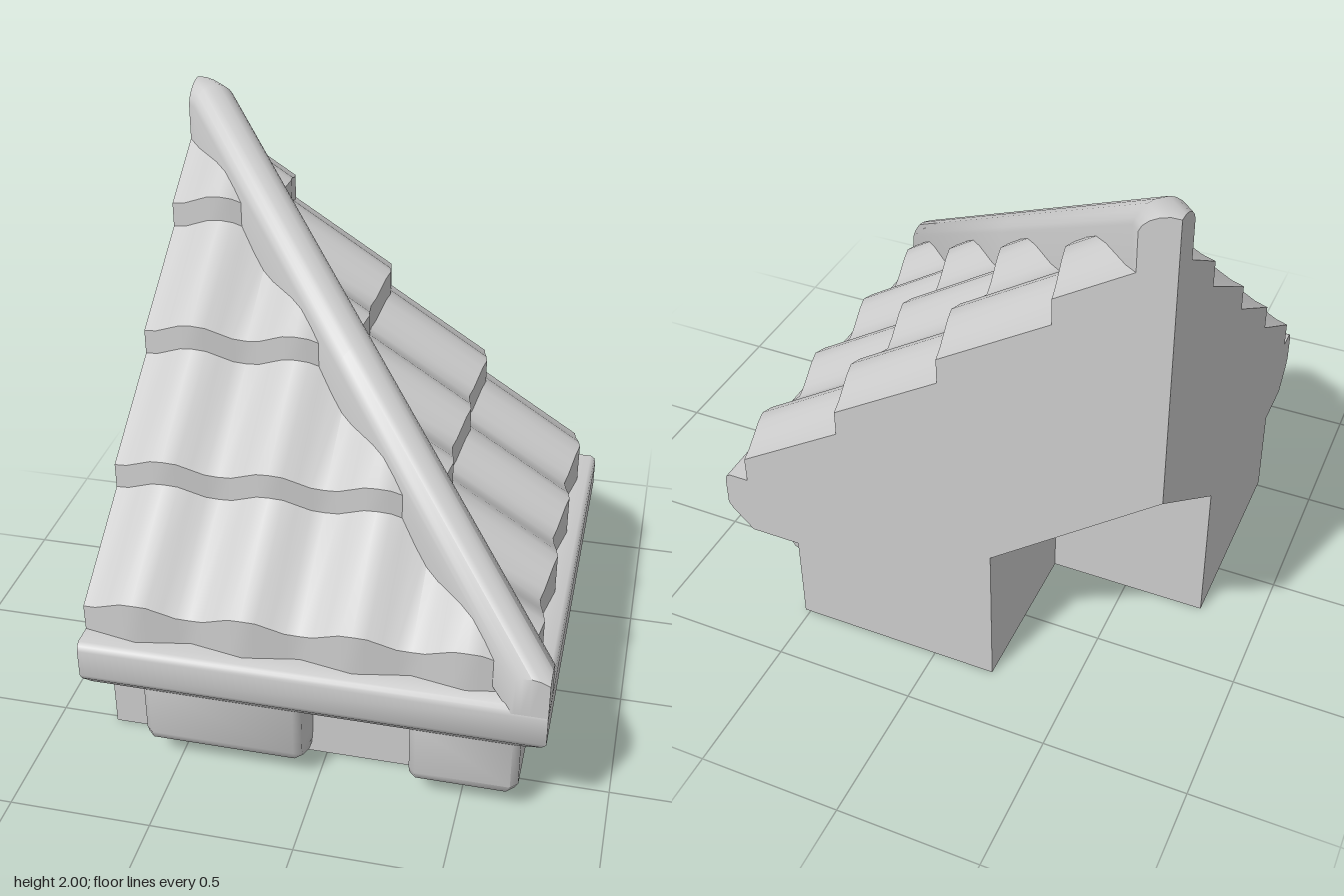
import * as THREE from 'three';
import { toCreasedNormals } from 'three/addons/utils/BufferGeometryUtils.js';

const E = 0.79;          // half width of the piece
const ROWS = 4, STEP = 0.375, RISE = 0.33, TILE = 0.373;
const material = new THREE.MeshStandardMaterial({ color: 0xcccccc });

// Skin between neighbouring columns of [x, y, z] points, skipping empty triangles
function skin(cols) {
  const pos = [];
  const a = new THREE.Vector3(), b = new THREE.Vector3(), c = new THREE.Vector3();
  const tri = (p, q, r) => {
    a.set(...p); b.set(...q).sub(a); c.set(...r).sub(a);
    if (b.cross(c).length() > 1e-7) pos.push(...p, ...q, ...r);
  };
  for (let i = 0; i + 1 < cols.length; i++) {
    for (let j = 0; j + 1 < cols[i].length; j++) {
      tri(cols[i][j], cols[i][j + 1], cols[i + 1][j]);
      tri(cols[i + 1][j], cols[i][j + 1], cols[i + 1][j + 1]);
    }
  }
  const g = new THREE.BufferGeometry();
  g.setAttribute('position', new THREE.Float32BufferAttribute(pos, 3));
  return g;
}

// Reflection across the diagonal plane x = z
function mirrored(source) {
  const g = source.index ? source.toNonIndexed() : source;
  const p = g.attributes.position, pos = [];
  for (let i = 0; i < p.count; i += 3) {
    for (const k of [i, i + 2, i + 1]) pos.push(p.getZ(k), p.getY(k), p.getX(k));
  }
  const out = new THREE.BufferGeometry();
  out.setAttribute('position', new THREE.Float32BufferAttribute(pos, 3));
  return out;
}

// Shingle rows: pointed lower edges, slightly puffed tips
const wave = (x) => { const t = (x + E) / TILE; return 1 - Math.abs(2 * (t - Math.floor(t)) - 1); };
const puff = (x) => 0.5 - 0.5 * Math.cos(2 * Math.PI * (x + E) / TILE);
const edge = (k, x) => 0.70 + 0.035 * wave(x) - STEP * k;
const rowY = (k, x, z) => 0.655 + 0.055 * puff(x) + RISE * k + 0.64 * (edge(k, x) - z);

// Stepped roof section [z, y] at x, kept on the front side of z = x
function roofSection(x) {
  const pts = [];
  for (let k = ROWS - 1; k >= 0; k--) {
    if (edge(k, x) < x) {
      let hit = k;
      while (hit > 0 && edge(hit, x) < x) hit--;
      const y = rowY(hit, x, x);
      pts.push([x, y], [x, y]);
    } else {
      const z0 = Math.max(k === ROWS - 1 ? -E : edge(k + 1, x), x);
      pts.push([z0, rowY(k, x, z0)], [edge(k, x), rowY(k, x, edge(k, x))]);
    }
  }
  pts.push([edge(0, x), 0.56]);
  return pts;
}

// Eaves moulding, wall, underside and sloping soffit as one mitred section [z, y]
const moulding = [[0.68, 0.56], [0.77, 0.56], [0.785, 0.55], [0.79, 0.53], [0.79, 0.43],
  [0.775, 0.405], [0.70, 0.33], [0.52, 0.33]];
const wall = [[0.52, 0.33], [0.52, 0], [-0.22, 0], [-0.22, 0.55], [-E, 1.0]];
const mitred = (section) => skin([
  section.map(([z, y]) => [-E, y, z]),
  section.map(([z, y]) => [z, y, z]),
]);

// Hip ridge: height along the diagonal s, drop across it d
const RIDGE = [[0, 0], [0.03, 0], [0.06, -0.008], [0.09, -0.025], [0.11, -0.045], [0.12, -0.065]];
const KINK = -0.704;
const ridgeY = (s) => Math.min(2, 0.67 + 0.89 * (E - s));

function ridgeGeometry() {
  const column = (d, drop, lower) => {
    const end = E - Math.abs(d) / 2;
    const pts = [-end, KINK, 0, end].map((s) =>
      [s + d / 2, Math.max(0.54, ridgeY(s) + drop - lower), s - d / 2]);
    pts.push([end + d / 2, 0.54, end - d / 2]);
    return pts;
  };
  const cols = RIDGE.map(([d, drop]) => column(d, drop, 0));
  const [d, drop] = RIDGE[RIDGE.length - 1];
  cols.push(column(d, drop, 0.35));
  const other = RIDGE.slice(1).map(([e, f]) => column(-e, f, 0)).reverse();
  return skin([column(-d, drop, 0.35), ...other, ...cols]);
}

// Flat cut face on x = -E
function cutFaceGeometry() {
  const top = RIDGE.map(([d, drop]) => [d - E, ridgeY(-E + d / 2) + drop]);
  const roof = roofSection(-E).slice(1);
  const zr = -E + 0.12;
  const outline = [...top, [zr, rowY(ROWS - 1, -E, zr)], ...roof, ...moulding.slice(1), ...wall.slice(1)];
  const shape = new THREE.Shape(outline.map(([z, y]) => new THREE.Vector2(z, y)));
  return new THREE.ShapeGeometry(shape).rotateY(-Math.PI / 2).translate(-E, 0, 0);
}

// Bracket stone from rings [y, x0, x1, z0, z1], top to bottom, with cut corners
function stoneGeometry(levels) {
  const c = 0.025;
  const rings = levels.map(([y, x0, x1, z0, z1]) => [
    [x1, y, z1 - c], [x1 - c, y, z1], [x0 + c, y, z1], [x0, y, z1 - c],
    [x0, y, z0 + c], [x0 + c, y, z0], [x1 - c, y, z0], [x1, y, z0 + c], [x1, y, z1 - c]]);
  const [y, x0, x1, z0, z1] = levels[levels.length - 1];
  rings.push(rings[0].map(() => [(x0 + x1) / 2, y, (z0 + z1) / 2]));
  return skin(rings);
}

export function createModel() {
  const group = new THREE.Group();
  const add = (name, geometry, crease = 0.9) => {
    const mesh = new THREE.Mesh(toCreasedNormals(geometry, crease), material);
    mesh.name = name;
    group.add(mesh);
  };
  const addPair = (name, geometry, crease) => {
    add(name + 'Front', geometry, crease);
    add(name + 'Side', mirrored(geometry), crease);
  };

  // Shingled roof slopes
  const cols = [];
  for (let i = 0; i <= 32; i++) {
    const x = -E + (i * TILE) / 8;
    cols.push(roofSection(x).map(([z, y]) => [x, y, z]));
  }
  addPair('shingles', skin(cols));

  // Eaves, walls and cut faces
  addPair('eavesMoulding', mitred(moulding));
  addPair('wall', mitred(wall), 0.3);
  addPair('cutFace', cutFaceGeometry(), 0.3);

  // Hip ridge
  add('hipRidge', ridgeGeometry());

  // Bracket stones under the eaves: [y, inset of the sides, outer reach]
  const taper = [[0.34, 0, 0.70], [0.14, 0, 0.70], [0.105, 0, 0.685], [0.04, 0.005, 0.58], [0, 0.035, 0.52]];
  addPair('bracketStone', stoneGeometry(
    taper.map(([y, inset, reach]) => [y, -0.61 + inset, -0.05 - inset, 0.42, reach])));
  add('cornerStone', stoneGeometry(
    taper.map(([y, inset, reach]) => [y, 0.325 + inset, reach, 0.325 + inset, reach])));

  return group;
}
